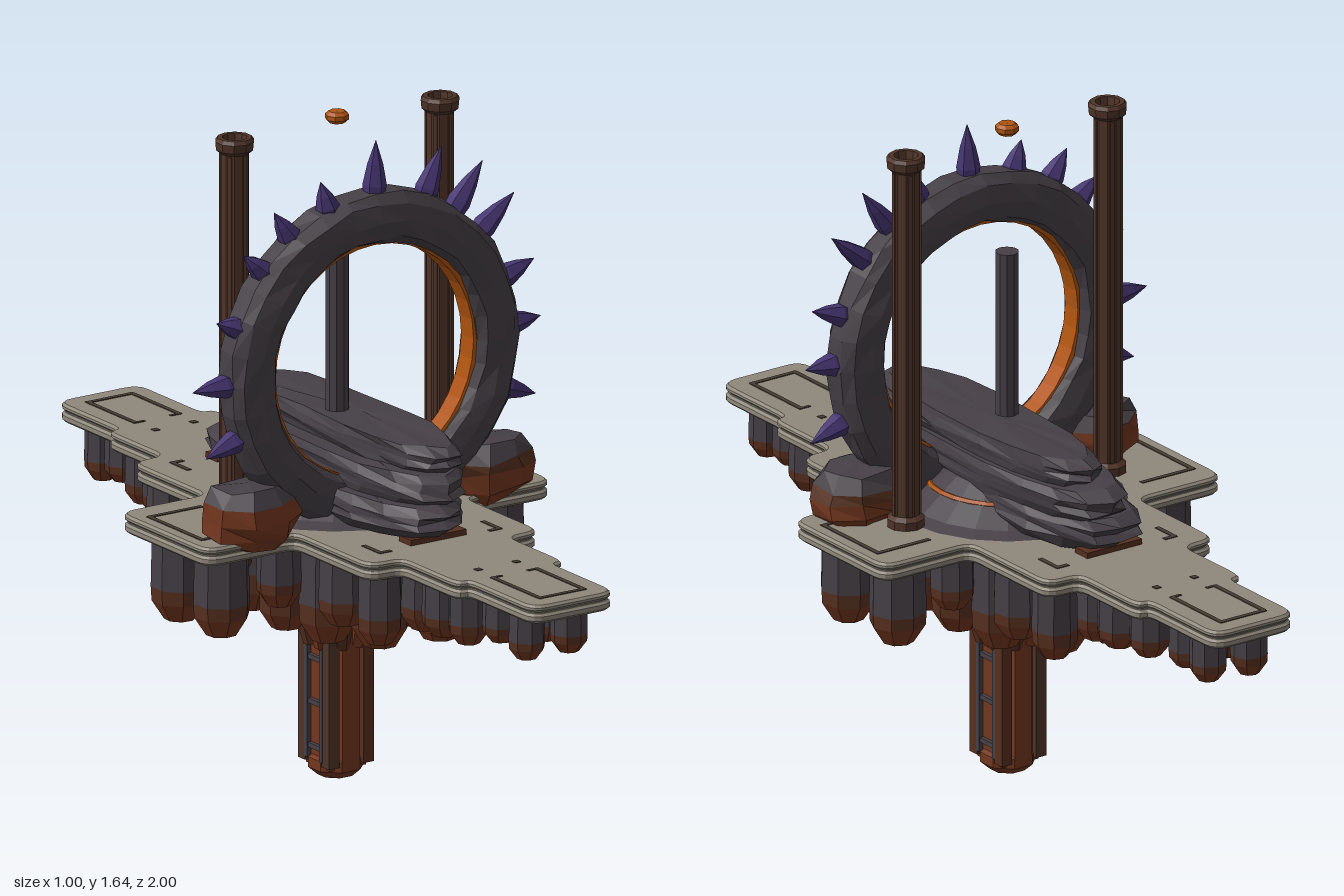
import * as THREE from 'three';

const mat = (name, color) => {
  const m = new THREE.MeshStandardMaterial({ color });
  m.name = name;
  return m;
};

export function createModel() {
  const stone = mat('paleStone', 0x8f887b);
  const groove = mat('grooveShadow', 0x453c33);
  const rock = mat('darkRock', 0x464046);
  const scorched = mat('scorchedRock', 0x57301f);
  const rust = mat('rustRock', 0x74371f);
  const bronze = mat('bronze', 0x4f3428);
  const ember = mat('ember', 0xb0540f);
  const violet = mat('violet', 0x463571);

  const model = new THREE.Group();
  model.name = 'floatingGate';

  // Faceted normals
  const facet = (g) => {
    const f = g.index ? g.toNonIndexed() : g;
    f.computeVertexNormals();
    return f;
  };
  const add = (name, geo, material, x = 0, y = 0, z = 0, parent = model) => {
    const mesh = new THREE.Mesh(facet(geo), material);
    mesh.name = name;
    mesh.position.set(x, y, z);
    parent.add(mesh);
    return mesh;
  };
  const group = (name) => {
    const g = new THREE.Group();
    g.name = name;
    model.add(g);
    return g;
  };
  // Repeatable roughness that keeps coincident corners together
  const hash = (x, y, z, k) => {
    const r = (v) => Math.round(v * 500);
    const s = Math.sin(r(x) * 12.99 + r(y) * 78.23 + r(z) * 37.72 + k * 11.1) * 43758.55;
    return s - Math.floor(s) - 0.5;
  };
  const roughen = (g, ax, ay, az, seed = 0) => {
    const p = g.attributes.position;
    for (let i = 0; i < p.count; i++) {
      const [x, y, z] = [p.getX(i), p.getY(i), p.getZ(i)];
      p.setXYZ(i, x + ax * hash(x, y, z, seed + 1), y + ay * hash(x, y, z, seed + 2), z + az * hash(x, y, z, seed + 3));
    }
    return g;
  };
  const lathe = (points, sides) =>
    new THREE.LatheGeometry(points.map(([r, y]) => new THREE.Vector2(r, y)), sides);
  const box = (w, h, d) => new THREE.BoxGeometry(w, h, d);

  // Stepped cross deck with rounded corners
  const deckShape = (d) => {
    const steps = [[0.12, 1], [0.12, 0.735], [0.155, 0.735], [0.155, 0.5], [0.247, 0.5], [0.247, 0.187], [0.498, 0.187]]
      .map(([x, z]) => [x - d, z - d]);
    const quarter = (sx, sz) => steps.map(([x, z]) => [x * sx, z * sz]);
    const pts = [...quarter(1, 1), ...quarter(1, -1).reverse(), ...quarter(-1, -1), ...quarter(-1, 1).reverse()]
      .map(([x, z]) => new THREE.Vector2(x, z));
    const s = new THREE.Shape();
    pts.forEach((p, i) => {
      const prev = pts[(i + pts.length - 1) % pts.length], next = pts[(i + 1) % pts.length];
      const cut = (q) => p.clone().add(q.clone().sub(p).setLength(Math.min(0.04, p.distanceTo(q) * 0.45)));
      const a = cut(prev), b = cut(next);
      if (i) s.lineTo(a.x, a.y); else s.moveTo(a.x, a.y);
      s.quadraticCurveTo(p.x, p.y, b.x, b.y);
    });
    s.closePath();
    return s;
  };
  const deck = group('deck');
  const layer = (name, inset, y0, y1, material, bevel) => {
    const g = new THREE.ExtrudeGeometry(deckShape(inset + bevel), {
      depth: y1 - y0 - 2 * bevel, bevelEnabled: bevel > 0, bevelSize: bevel, bevelThickness: bevel, bevelSegments: 1, curveSegments: 4,
    });
    g.rotateX(-Math.PI / 2);
    add(name, g, material, 0, y0 + bevel, 0, deck);
  };
  layer('deckBase', 0, 0.647, 0.67, stone, 0.006);
  layer('deckSeam', 0.008, 0.666, 0.678, stone, 0);
  layer('deckTop', 0, 0.674, 0.692, stone, 0.006);

  // Inlaid grooves
  const inlay = (x, z, w, d) => add('deckInlay', box(w, 0.004, d), groove, x, 0.692, z, deck);
  for (const s of [-1, 1]) {
    inlay(0, s * 0.945, 0.136, 0.012);
    inlay(s * 0.46, 0, 0.012, 0.23);
    for (const t of [-1, 1]) {
      inlay(t * 0.063, s * 0.845, 0.012, 0.2);
      inlay(t * 0.052, s * 0.748, 0.03, 0.008);
      inlay(t * 0.055, s * 0.675, 0.016, 0.016);
      inlay(t * 0.158, s * 0.435, 0.035, 0.012);
      inlay(t * 0.171, s * 0.4, 0.012, 0.07);
      inlay(t * 0.385, s * 0.11, 0.15, 0.012);
    }
  }

  // Hanging stone columns, dark above and rusty at the tip
  const hanging = group('hangingColumns');
  const column = (x, z, r, bottom) => {
    const top = 0.65, h = top - bottom, a = bottom + h * 0.4, b = bottom + Math.min(h * 0.25, r * 0.75);
    const turn = hash(x, bottom, z, 4) * 2;
    const parts = [
      ['columnShaft', rock, [[r, a], [r * 0.96, top]]],
      ['columnBand', scorched, [[r * 0.97, b], [r, a]]],
      ['columnTip', rust, [[0.001, bottom], [r * 0.55, bottom + 0.006], [r * 0.97, b]]],
    ];
    for (const [name, m, pts] of parts) add(name, lathe(pts, 8), m, x, 0, z, hanging).rotation.y = turn;
  };
  const columnRows = [
    [0.06, 0.9, 0.045, 0.515], [0.055, 0.79, 0.045, 0.53], [0.075, 0.68, 0.05, 0.51],
    [0.09, 0.575, 0.055, 0.515], [0.175, 0.43, 0.055, 0.47], [0.06, 0.46, 0.06, 0.48],
    [0.17, 0.28, 0.065, 0.47], [0.075, 0.31, 0.075, 0.41], [0.235, 0.11, 0.055, 0.49],
    [0.39, 0.095, 0.07, 0.435], [0.125, 0.16, 0.075, 0.395],
  ];
  columnRows.forEach(([x, z, r, b]) => {
    for (const sx of [-1, 1]) for (const sz of [-1, 1])
      column(sx * x + hash(x, sx, sz, 7) * 0.01, sz * z + hash(z, sx, sz, 8) * 0.03, r, b + hash(x, sz, sx, 9) * 0.02);
  });
  for (const s of [-1, 1]) column(s * 0.13, s * 0.02, 0.065, 0.38);

  // Leaning spurs around the trunk
  for (let i = 0; i < 8; i++) {
    const a = (i + 0.5) / 8 * Math.PI * 2;
    const spur = add('trunkSpur', new THREE.CylinderGeometry(0.055, 0.02, 0.32, 6), i % 2 ? rust : scorched,
      Math.cos(a) * 0.09, 0.49, Math.sin(a) * 0.09, hanging);
    spur.rotation.set(Math.sin(a) * 0.2, 0, -Math.cos(a) * 0.2);
  }

  // Trunk with ladder-like recesses on both sides
  const trunk = group('trunk');
  add('trunkCore', box(0.105, 0.62, 0.1), rust, 0, 0.34, 0, trunk);
  add('trunkFoot', lathe([[0.001, 0.002], [0.045, 0.005], [0.068, 0.025], [0.068, 0.05], [0.05, 0.06]], 8), rust, 0, 0, 0, trunk)
    .rotation.y = Math.PI / 8;
  for (const s of [-1, 1]) {
    for (const t of [-1, 1])
      add('trunkPost', box(0.03, 0.6, 0.03), s < 0 ? bronze : scorched, s * 0.05, 0.34, t * 0.05, trunk);
    add('trunkRib', box(0.05, 0.6, 0.02), rust, 0, 0.34, s * 0.053, trunk);
    add('trunkRail', box(0.012, 0.34, 0.012), rock, s * 0.06, 0.22, 0.032, trunk);
    add('trunkRail', box(0.012, 0.34, 0.012), rock, s * 0.06, 0.22, -0.032, trunk);
    for (let y = 0.08; y < 0.4; y += 0.11)
      add('trunkRung', box(0.012, 0.012, 0.075), rock, s * 0.057, y, 0, trunk);
  }

  // Low mound with a thin glowing band
  add('mound', lathe([[0.29, 0.69], [0.25, 0.705], [0.15, 0.78], [0.001, 0.82]], 20), rock);
  const band = add('moundBand', new THREE.TorusGeometry(0.19, 0.008, 5, 28), ember, 0, 0.746, 0);
  band.rotation.x = Math.PI / 2;

  // Stacked long slabs
  const slabs = group('slabs');
  [
    [0, 0, 0.7, 0.778, 0.148, 0.468], [0.02, 0, 0.768, 0.848, 0.13, 0.45], [0.037, 0.025, 0.84, 0.907, 0.098, 0.41],
  ].forEach(([x, z, y0, y1, hx, hz], n) => {
    const h = y1 - y0;
    const g = lathe([[0.001, 0], [0.88, 0], [1, h * 0.35], [0.97, h * 0.55], [0.99, h * 0.75], [0.9, h], [0.001, h]], 18);
    const p = g.attributes.position;
    for (let i = 0; i < p.count; i++) {
      const px = p.getX(i), pz = p.getZ(i);
      p.setX(i, Math.sign(px) * Math.pow(Math.abs(px), 0.75) * hx);
      p.setZ(i, Math.sign(pz) * Math.pow(Math.abs(pz), 0.85) * hz);
    }
    add('slab', roughen(g, 0.014, 0.007, 0.025, n * 5), rock, x, y0, z, slabs);
  });
  for (const s of [-1, 1]) add('slabFooting', box(0.16, 0.014, 0.05), scorched, 0, 0.699, s * 0.405, slabs);

  // Central rod and floating gem
  add('centralRod', new THREE.CylinderGeometry(0.029, 0.029, 0.52, 10), rock, 0.003, 1.06, 0);
  add('floatingGem', lathe([[0.001, -0.014], [0.02, -0.014], [0.029, -0.005], [0.029, 0.006], [0.02, 0.014], [0.001, 0.014]], 8), ember, 0.003, 1.633, 0);

  // Twin hollow pillars
  for (const s of [-1, 1]) {
    const pillar = group(s > 0 ? 'leftPillar' : 'rightPillar');
    pillar.position.x = s * 0.295 + 0.004;
    add('pillarShaft', lathe([[0.046, 0.69], [0.046, 0.712], [0.034, 0.722], [0.034, 1.595], [0.046, 1.605], [0.048, 1.625],
      [0.042, 1.634], [0.03, 1.634], [0.026, 1.605]], 10), bronze, 0, 0, 0, pillar);
    add('pillarHollow', new THREE.CylinderGeometry(0.03, 0.03, 0.004, 10), rock, 0, 1.608, 0, pillar);
    for (let i = 0; i < 5; i++) {
      const a = i / 5 * Math.PI * 2;
      add('pillarFlute', box(0.01, 0.87, 0.01), bronze, Math.cos(a) * 0.032, 1.158, Math.sin(a) * 0.032, pillar).rotation.y = -a;
    }
  }

  // Great ring with glowing lining and spikes
  const ring = group('ring');
  ring.position.set(0.004, 1.07, 0.13);
  const hoop = (points, sides) => lathe([...points, points[0]], sides).rotateX(Math.PI / 2);
  add('ringStone', roughen(hoop([
    [0.39, -0.052], [0.412, -0.028], [0.412, 0.028], [0.39, 0.052], [0.345, 0.06], [0.305, 0.052],
    [0.291, 0.03], [0.291, -0.03], [0.305, -0.052], [0.345, -0.06],
  ], 32), 0.008, 0.008, 0.01), rock, 0, 0, 0, ring);
  add('ringLining', hoop([[0.3, -0.03], [0.3, 0.03], [0.284, 0.026], [0.284, -0.026]], 36), ember, 0, 0, 0, ring);
  [
    [200, 0.5], [180, 0.508], [160, 0.467], [139, 0.48], [124, 0.49], [107, 0.48], [88, 0.535],
    [67, 0.53], [53, 0.54], [39, 0.535], [19, 0.5], [2, 0.492], [-20, 0.508],
  ].forEach(([deg, tip]) => {
    const a = deg * Math.PI / 180, len = tip - 0.39;
    const spike = add('spike', lathe([[0.025, 0], [0.029, len * 0.25], [0.019, len * 0.6], [0.0005, len]], 6), violet,
      Math.cos(a) * 0.39, Math.sin(a) * 0.39, 0.004, ring);
    spike.rotation.z = a - Math.PI / 2;
  });

  // Boulders bracing the ring, scorched higher on one side
  for (const s of [-1, 1]) {
    const boulder = group(s > 0 ? 'leftBoulder' : 'rightBoulder');
    boulder.position.set(s * 0.338 + 0.003, 0.67, 0.13);
    const upper = lathe([[0.96, 0.105], [0.72, 0.142], [0.001, 0.146]], 8);
    const middle = lathe([[1, 0.07], [0.96, 0.105]], 8);
    const lower = lathe([[0.65, -0.005], [0.93, 0.03], [1, 0.07]], 8);
    for (const [name, g, m] of [['boulderTop', upper, rock], ['boulderBand', middle, s < 0 ? rust : scorched], ['boulderBase', lower, rust]]) {
      g.rotateY(Math.PI / 8).scale(0.122, 1, 0.1);
      add(name, roughen(g, 0.018, 0.018, 0.018, s * 3), m, 0, 0, 0, boulder);
    }
  }
  return model;
}
